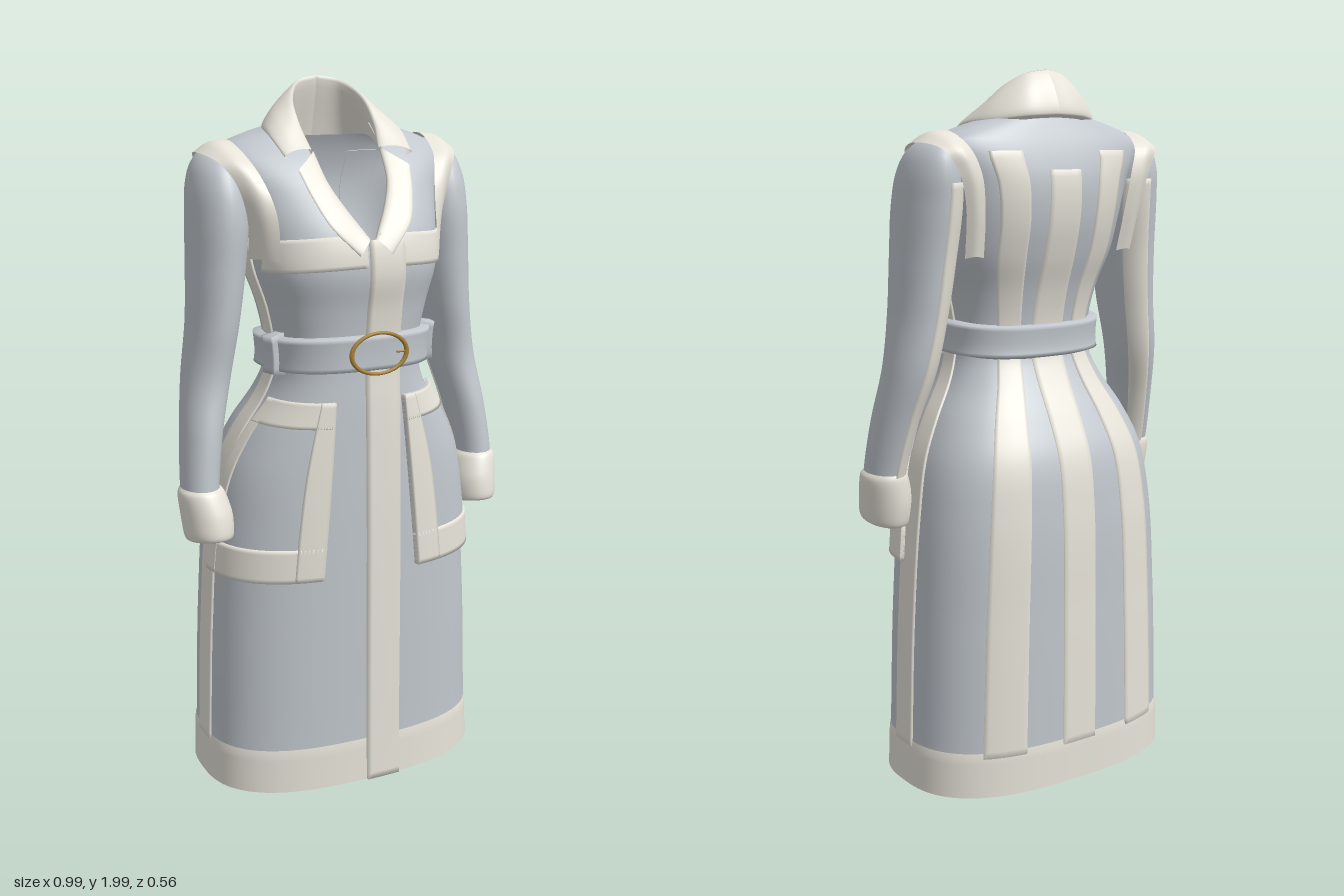
import * as THREE from 'three';
import { mergeVertices } from 'three/addons/utils/BufferGeometryUtils.js';

const V = (x, y, z) => new THREE.Vector3(x, y, z);
const { lerp, clamp } = THREE.MathUtils;
const PI = Math.PI, ROUND = 0.75; // squareness of the body sections

const material = (name, color) => {
  const m = new THREE.MeshStandardMaterial({ color, side: THREE.DoubleSide });
  m.name = name;
  return m;
};

// Smooth interpolation through table rows; the first column is the key
function track(rows) {
  const size = rows[0].length - 1;
  const f = new THREE.CubicInterpolant(rows.map(r => r[0]), rows.flatMap(r => r.slice(1)), size);
  return k => Array.from(f.evaluate(k));
}

// Grid surface from a function of column and row
function grid(n, m, fn) {
  const pos = [], idx = [];
  for (let j = 0; j <= m; j++) for (let i = 0; i <= n; i++) pos.push(...fn(i, j).toArray());
  for (let j = 0; j < m; j++) for (let i = 0; i < n; i++) {
    const a = j * (n + 1) + i, d = a + n + 1;
    idx.push(a, a + 1, d + 1, a, d + 1, d);
  }
  let g = new THREE.BufferGeometry();
  g.setAttribute('position', new THREE.Float32BufferAttribute(pos, 3));
  g.setIndex(idx);
  g = mergeVertices(g, 1e-5);
  g.computeVertexNormals();
  return g;
}

// Panel following a surface S(theta, y), raised by off, with its rim sunk in
function panel(S, map, off, n, m) {
  return grid(n, m, (i, j) => {
    const rim = i === 0 || j === 0 || i === n || j === m;
    const [u, y] = map(clamp((i - 1) / (n - 2), 0, 1), clamp((j - 1) / (m - 2), 0, 1));
    const normal = S(u + 0.02, y).sub(S(u - 0.02, y)).cross(S(u, y + 0.01).sub(S(u, y - 0.01))).normalize();
    return S(u, y).addScaledVector(normal, rim ? -0.004 : off);
  });
}

// Sheet through several matching edge curves, smooth both ways
function sheet(edges, n, m) {
  const curves = edges.map(e => new THREE.CatmullRomCurve3(e.map(p => V(...p))));
  return grid(n, m, (i, j) =>
    new THREE.CatmullRomCurve3(curves.map(c => c.getPoint(i / n))).getPoint(j / m));
}

// Body sections: y, half width, front z, back z, z of widest point
const bodyAt = track([
  [0, .42, .265, -.272, 0], [.13, .415, .262, -.272, 0], [.5, .4, .258, -.27, 0],
  [.8, .375, .254, -.262, 0], [.95, .345, .25, -.24, .01], [1.05, .3, .247, -.194, .02],
  [1.15, .24, .243, -.138, .04], [1.22, .215, .239, -.108, .05], [1.3, .215, .239, -.108, .05],
  [1.4, .235, .249, -.13, .05], [1.5, .265, .266, -.165, .03], [1.6, .275, .248, -.19, 0],
  [1.7, .295, .19, -.195, -.02], [1.77, .325, .135, -.18, -.04], [1.81, .32, .09, -.165, -.05],
  [1.84, .255, .05, -.15, -.06], [1.87, .15, .02, -.135, -.06],
]);
const pw = (v, e) => Math.sign(v) * Math.abs(v) ** e;
function body(t, y) {
  const [a, zf, zb, zc] = bodyAt(y), c = pw(Math.cos(t), ROUND);
  return V(a * pw(Math.sin(t), ROUND), y, zc + c * (c > 0 ? zf - zc : zc - zb));
}
// Angle, from the front or back centre, at which the body reaches a fraction of its half width
const ratioAngle = r => Math.asin(pw(clamp(r, -1, 1), 1 / ROUND));
const xAngle = (x, y) => ratioAngle(x / bodyAt(y)[0]);

// Sleeve sections: y, centre x, radius x, centre z, radius z
const sleeveAt = track([
  [.8, .433, .05, .08, .062], [.9, .433, .052, .065, .068], [1.05, .415, .057, .035, .08],
  [1.2, .385, .066, 0, .09], [1.35, .36, .07, -.005, .105], [1.5, .345, .077, -.01, .115],
  [1.65, .335, .08, -.02, .123], [1.73, .334, .071, -.032, .114], [1.78, .332, .053, -.042, .089],
  [1.808, .325, .032, -.05, .052], [1.82, .32, .003, -.05, .005],
]);
function sleeve(t, y) {
  const [x, rx, z, rz] = sleeveAt(y);
  return V(x + rx * Math.sin(t), y, z + rz * Math.cos(t));
}
// Turned-back cuff, ending inside the sleeve: step, y, x, rx, z, rz
const cuffAt = track([
  [0, .91, .432, .052, .065, .068], [1, .89, .43, .064, .068, .078], [2, .83, .42, .07, .08, .087],
  [3, .775, .418, .066, .09, .086], [4, .768, .418, .055, .09, .073], [5, .83, .428, .048, .08, .06],
]);

export function createModel() {
  const coat = new THREE.Group();
  coat.name = 'coat';
  const blue = material('blueGreyCloth', 0xc1c7cd);
  const cream = material('creamTrim', 0xebe7dd);
  const brass = material('brass', 0xa8823a);
  const add = (parent, name, geometry, mat) => {
    const mesh = new THREE.Mesh(geometry, mat);
    mesh.name = name;
    parent.add(mesh);
    return mesh;
  };

  // Body shell, open along the neck V
  add(coat, 'body', grid(112, 90, (i, j) => {
    const y = lerp(.12, 1.87, j / 90);
    const v = xAngle(clamp((y - 1.57) * .65, 0, .108), y);
    return body(lerp(v, 2 * PI - v, i / 112), y);
  }), blue);
  add(coat, 'hem', grid(112, 8, (i, j) => {
    const p = body(i / 112 * 2 * PI, lerp(.005, .135, j / 8));
    const k = j === 8 ? 1 : 1.008;
    return V(p.x * k, p.y, p.z * k);
  }), cream);

  // Front placket and centre back stripe
  add(coat, 'placket', panel(body, (s, t) => {
    const y = lerp(.005, 1.585, t);
    return [xAngle(lerp(-.012, .09, s), y), y];
  }, .01, 10, 90), cream);
  add(coat, 'centreBackStripe', panel(body, (s, t) => {
    const y = lerp(.12, 1.73, t), w = lerp(.055, .05, t);
    return [PI - xAngle(lerp(w, -w, s), y), y];
  }, .005, 10, 90), cream);

  // Belt, a little lower at the back
  const beltY = (u, t) => lerp(1.235, 1.33, t) - .012 * (1 - Math.cos(u));
  add(coat, 'belt', panel(body, (s, t) => [s * 2 * PI, beltY(s * 2 * PI, t)], .026, 98, 10), blue);

  // Oval buckle with prong
  const buckle = new THREE.Group();
  buckle.name = 'buckle';
  buckle.position.set(.015, 1.282, .269);
  coat.add(buckle);
  const ring = add(buckle, 'buckleRing', new THREE.TorusGeometry(.07, .006, 8, 48), brass);
  ring.scale.set(1.18, .8, 1);
  const prong = add(buckle, 'bucklePin', new THREE.CylinderGeometry(.003, .003, .03, 8), brass);
  prong.rotation.z = PI / 2;
  prong.position.x = .068;

  // Everything below is built on the left and mirrored to the right
  for (const side of [1, -1]) {
    const half = new THREE.Group();
    half.name = side > 0 ? 'leftSide' : 'rightSide';
    half.scale.x = side;
    coat.add(half);

    // Seam stripes
    add(half, 'backStripe', panel(body, (s, t) => {
      const c = lerp(.57, .54, t), w = .145;
      return [PI - ratioAngle(lerp(c + w, c - w, s)), lerp(.12, 1.78, t)];
    }, .005, 12, 90), cream);
    add(half, 'sideStripe', panel(body, (s, t) =>
      [PI / 2 + lerp(-.11, .07, s), lerp(.12, 1.6, t)], .005, 12, 80), cream);
    add(half, 'chestBand', panel(body, (s, t) => {
      const x = lerp(.02, .258, s), y = lerp(1.515, 1.6, t) - .2 * x * x;
      return [xAngle(x, y), y];
    }, .007, 26, 10), cream);

    // Patch pocket with its border bands
    const pocket = (s0, s1, t0, t1) => (s, t) => {
      const k = lerp(t0, t1, t), y = lerp(.65, 1.15, k);
      return [lerp(xAngle(lerp(.145, .1, k), y), 1.52 - .22 * k * k, lerp(s0, s1, s)), y];
    };
    add(half, 'pocket', panel(body, pocket(0, 1, 0, 1), .012, 40, 40), blue);
    [[0, .18, 0, 1], [.88, 1, 0, 1], [0, 1, 0, .19], [0, 1, .86, 1]].forEach(r =>
      add(half, 'pocketBorder', panel(body, pocket(...r), .017, r[1] - r[0] > .5 ? 40 : 12, r[3] - r[2] > .5 ? 40 : 10), cream));

    // Belt loop
    add(half, 'beltLoop', panel(body, (s, t) => {
      const u = lerp(1.2, 1.42, s);
      return [u, beltY(u, lerp(-.12, 1.12, t))];
    }, .042, 8, 8), blue);

    // Sleeve, its back seam stripe and cuff
    add(half, 'sleeve', grid(36, 60, (i, j) => sleeve(i / 36 * 2 * PI, lerp(.8, 1.82, j / 60))), blue);
    add(half, 'sleeveStripe', panel(sleeve, (s, t) =>
      [lerp(1, 1.27, s) * PI, lerp(.88, 1.7, t)], .005, 10, 50), cream);
    add(half, 'cuff', grid(36, 25, (i, j) => {
      const [y, x, rx, z, rz] = cuffAt(j / 5), a = -i / 36 * 2 * PI, dz = rz * Math.cos(a);
      return V(x + rx * Math.sin(a), y + dz * .15 * Math.min(1, j / 10), z + dz);
    }), cream);

    // Armhole trim running over the shoulder
    const inner = [[.235, 1.53, .19], [.235, 1.65, .168], [.252, 1.73, .128], [.275, 1.79, .075], [.29, 1.835, -.05],
      [.275, 1.79, -.146], [.25, 1.72, -.166], [.235, 1.62, -.157], [.225, 1.5, -.132]];
    const outer = [[.284, 1.53, .08], [.294, 1.64, .105], [.32, 1.73, .098], [.352, 1.782, .06], [.376, 1.803, -.05],
      [.352, 1.782, -.146], [.32, 1.73, -.162], [.294, 1.64, -.155], [.28, 1.5, -.125]];
    const middle = inner.map((p, i) => {
      const q = outer[i], up = i === 4 ? .011 : .005;
      return [(p[0] + q[0]) / 2 + .003, (p[1] + q[1]) / 2 + up, (p[2] + q[2]) / 2 + (i < 4 ? .01 : i > 4 ? -.011 : 0)];
    });
    add(half, 'armholeTrim', sheet([inner, middle, outer], 48, 8), cream);

    // Collar: neck stand, fold, fall and turned-under edge
    const stand = [[0, 1.83, -.135], [.08, 1.83, -.12], [.122, 1.835, -.055], [.117, 1.825, .02], [.104, 1.8, .075]];
    const fold = [[0, 1.995, -.1], [.062, 1.983, -.085], [.104, 1.943, -.03], [.112, 1.875, .035], [.1, 1.81, .087]];
    const edge = [[0, 1.88, -.163], [.09, 1.875, -.15], [.172, 1.862, -.085], [.197, 1.85, .02], [.188, 1.798, .112]];
    const bulge = fold.map((p, i) => [lerp(p[0], edge[i][0], .55) + .006 * Math.min(1, i), lerp(p[1], edge[i][1], .45) + .008, lerp(p[2], edge[i][2], .5) + (i < 3 ? -.006 : .006)]);
    const under = edge.map(([x, y, z]) => [x * .93, y - .012, z * .93]);
    add(half, 'collar', sheet([under, edge, bulge, fold, stand], 32, 24), cream);

    // Lapel, lying on the chest
    const onChest = (x, y, off) => [x, y, body(xAngle(x, y), y).z + off];
    const roll = [[.1, 1.81, .095], [.088, 1.73, .165], [.06, 1.67, .208], [.01, 1.59, .258]];
    const tips = [[.165, 1.765], [.145, 1.69], [.116, 1.625], [.048, 1.55]];
    const rim = tips.map(([x, y]) => onChest(x, y, .018));
    const back = tips.map(([x, y]) => onChest(x - .006, y, .004));
    const face = roll.map((p, i) => [lerp(p[0], rim[i][0], .5), lerp(p[1], rim[i][1], .5), lerp(p[2], rim[i][2], .5) + .006]);
    const inside = roll.map(([x, y, z]) => [x + .008, y, z - .025]);
    add(half, 'lapel', sheet([back, rim, face, roll, inside], 24, 16), cream);
  }
  return coat;
}
